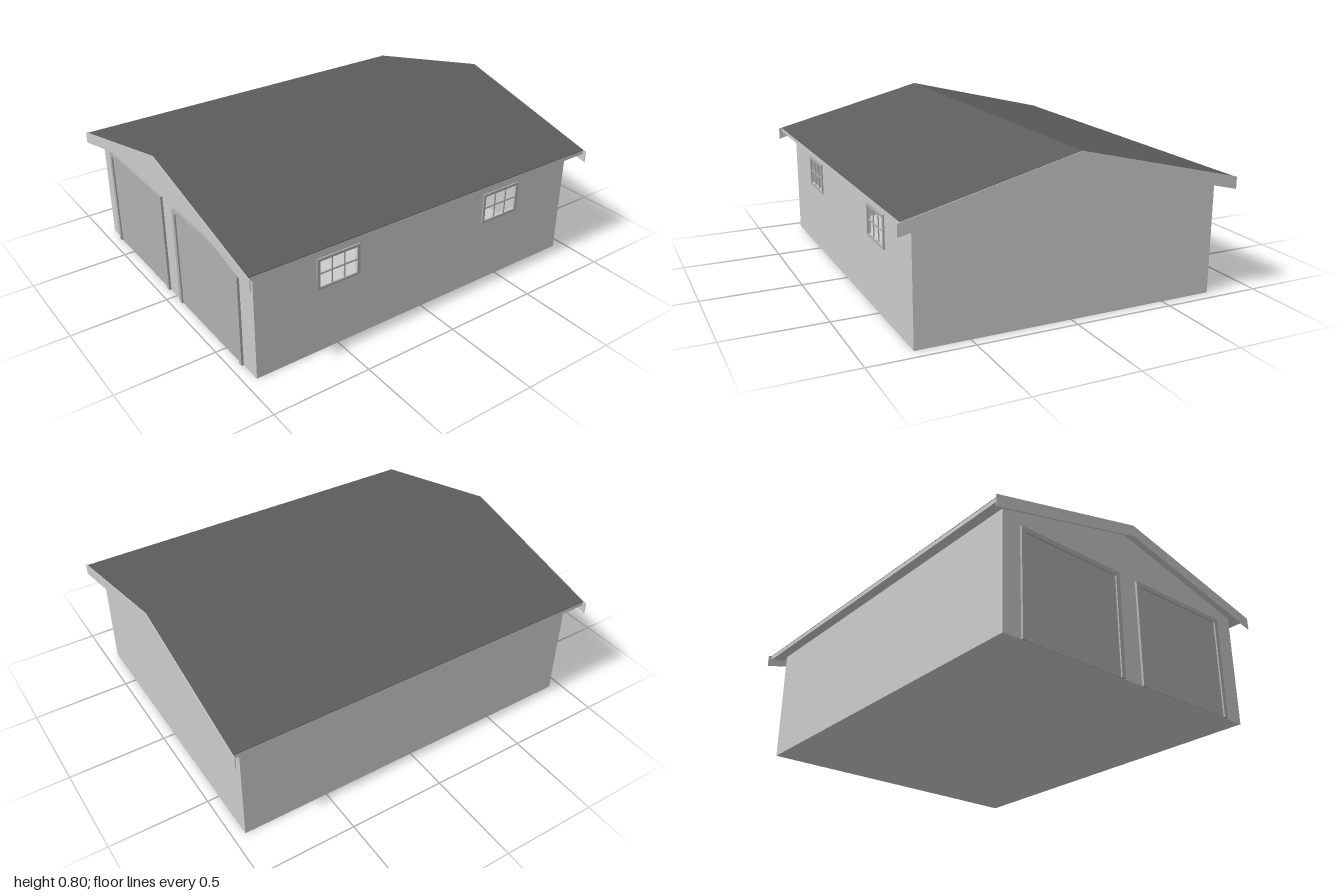
import * as THREE from 'three';

const grey = new THREE.MeshStandardMaterial({ color: 0xcccccc });
const trim = new THREE.MeshStandardMaterial({ color: 0xb0b0b0 });
const roofing = new THREE.MeshStandardMaterial({ color: 0x5d5d5d });

const SLOPE = 0.247, WALL_X = 0.765, WALL_Z = 0.94, THICK = 0.01;

export function createModel() {
  const garage = new THREE.Group();
  garage.name = 'garage';

  function add(name, geometry, material, x = 0, y = 0, z = 0, parent = garage) {
    const mesh = new THREE.Mesh(geometry, material);
    mesh.name = name;
    mesh.position.set(x, y, z);
    parent.add(mesh);
    return mesh;
  }
  const polygon = (points) => new THREE.Shape(points.map(([x, y]) => new THREE.Vector2(x, y)));
  const rect = (x0, y0, x1, y1) => polygon([[x0, y0], [x1, y0], [x1, y1], [x0, y1]]);
  const extrude = (shape, depth) => new THREE.ExtrudeGeometry(shape, { depth, bevelEnabled: false });

  // Folded band following the roof pitch
  function chevron(halfWidth, apex, height, depth) {
    const drop = halfWidth * SLOPE;
    return extrude(polygon([
      [-halfWidth, apex - drop - height], [0, apex - height], [halfWidth, apex - drop - height],
      [halfWidth, apex - drop], [0, apex], [-halfWidth, apex - drop],
    ]), depth);
  }

  // Roof: dark covering, slab below it and a bargeboard on each gable
  add('roofCovering', chevron(0.83, 0.8, 0.003, 1.992), roofing, 0, 0, -0.996);
  add('roofSlab', chevron(0.83, 0.797, 0.021, 1.992), grey, 0, 0, -0.996);
  add('frontBargeboard', chevron(0.847, 0.8, 0.06, 0.004), grey, 0, 0, 0.996);
  add('backBargeboard', chevron(0.847, 0.8, 0.06, 0.004), grey, 0, 0, -1);

  // Floor and gable walls
  add('floor', new THREE.BoxGeometry(WALL_X * 2 - 0.002, 0.01, WALL_Z * 2 - 0.002), grey, 0, 0.005, 0);
  const eave = 0.776 - WALL_X * SLOPE;
  const gable = extrude(polygon([
    [-WALL_X, 0], [WALL_X, 0], [WALL_X, eave], [0, 0.776], [-WALL_X, eave],
  ]), THICK);
  add('frontWall', gable, grey, 0, 0, WALL_Z - THICK);
  add('backWall', gable, grey, 0, 0, -WALL_Z);

  // Side walls, drawn along -z; the model's left one has window openings
  const windows = [0.5, -0.488];
  const paneW = 0.205, y0 = 0.354, y1 = 0.49;
  function sideWall(name, x, openings) {
    const shape = rect(-WALL_Z + THICK, 0, WALL_Z - THICK, eave);
    for (const z of openings) shape.holes.push(rect(-z - paneW / 2, y0, -z + paneW / 2, y1));
    add(name, extrude(shape, THICK), grey, x).rotation.y = Math.PI / 2;
  }
  sideWall('leftWall', WALL_X - THICK, windows);
  sideWall('rightWall', -WALL_X, []);

  // Windows: frame with three by two open panes
  for (const z of windows) {
    const group = new THREE.Group();
    group.name = 'window';
    group.position.set(WALL_X, 0, z);
    garage.add(group);
    const frame = rect(-0.117, y0 - 0.012, 0.117, y1 + 0.014);
    frame.holes.push(rect(-paneW / 2, y0, paneW / 2, y1));
    add('windowFrame', extrude(frame, 0.007), trim, 0, 0, 0, group).rotation.y = Math.PI / 2;
    const midY = (y0 + y1) / 2;
    add('horizontalBar', new THREE.BoxGeometry(0.006, 0.007, paneW), trim, 0, midY, 0, group);
    for (const side of [-1, 1]) {
      add('verticalBar', new THREE.BoxGeometry(0.005, y1 - y0, 0.006), trim, 0, midY, side * paneW / 6, group);
    }
  }

  // Two vehicle doors, each with a raised surround
  for (const [x0, x1] of [[-0.668, -0.067], [0.05, 0.651]]) {
    const edge = 0.023, top = 0.538;
    const surround = polygon([
      [x0, 0], [x0 + edge, 0], [x0 + edge, top - edge], [x1 - edge, top - edge],
      [x1 - edge, 0], [x1, 0], [x1, top], [x0, top],
    ]);
    add('doorSurround', extrude(surround, 0.012), trim, 0, 0, WALL_Z);
    add('doorPanel', extrude(rect(x0 + edge, 0, x1 - edge, top - edge), 0.004), trim, 0, 0, WALL_Z);
  }

  return garage;
}
